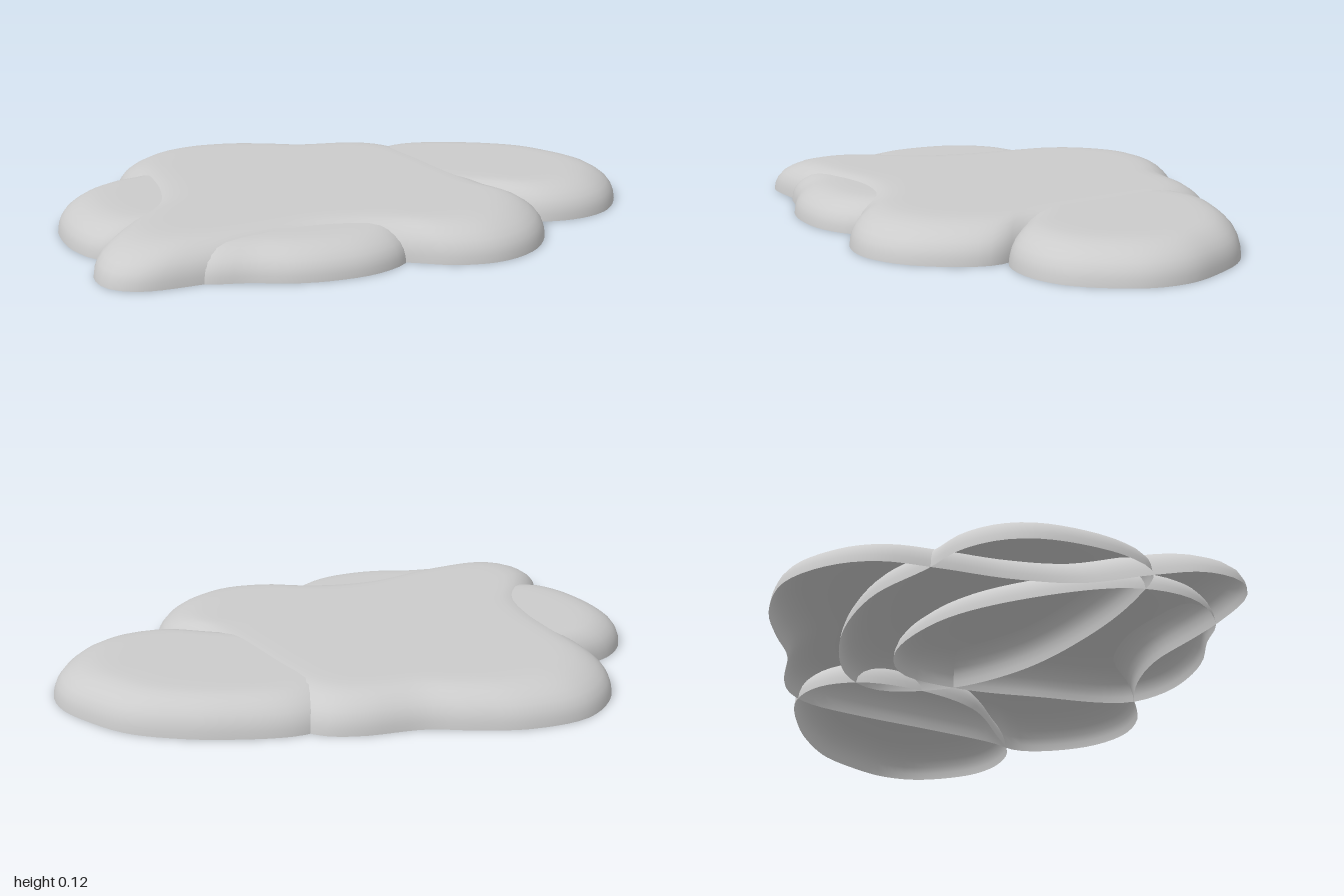
import * as THREE from 'three';

const material = new THREE.MeshStandardMaterial({ color: 0xcccccc, side: THREE.DoubleSide });

// Shoulder profile: [inset fraction, height fraction]
const PROFILE = [[0, 0], [0.006, 0.2], [0.022, 0.4], [0.05, 0.58], [0.09, 0.73],
  [0.14, 0.86], [0.2, 0.95], [0.27, 0.99], [0.36, 1], [0.6, 1]];

// Open-bottomed pillow: a closed [x, z] outline drawn in toward a centre while it rises
function pillow(name, outline, [cx, cz], height, roundness, segments = 72) {
  const curve = new THREE.CatmullRomCurve3(outline.map(([x, z]) => new THREE.Vector3(x, 0, z)), true);
  const ring = curve.getSpacedPoints(segments).slice(0, segments);
  if (THREE.ShapeUtils.area(ring.map(p => new THREE.Vector2(p.x, p.z))) > 0) ring.reverse();

  const positions = [], index = [];
  for (const [inset, rise] of PROFILE) {
    const k = 1 - inset * roundness;
    for (const p of ring) positions.push(cx + (p.x - cx) * k, rise * height, cz + (p.z - cz) * k);
  }
  positions.push(cx, height, cz);
  const last = PROFILE.length - 1, pole = PROFILE.length * segments;
  for (let j = 0; j <= last; j++) {
    for (let i = 0; i < segments; i++) {
      const n = (i + 1) % segments;
      const a = j * segments + i, b = j * segments + n;
      if (j === last) index.push(a, b, pole);
      else index.push(a, b, b + segments, a, b + segments, a + segments);
    }
  }
  const geometry = new THREE.BufferGeometry();
  geometry.setAttribute('position', new THREE.Float32BufferAttribute(positions, 3));
  geometry.setIndex(index);
  geometry.computeVertexNormals();
  const mesh = new THREE.Mesh(geometry, material);
  mesh.name = name;
  return mesh;
}

export function createModel() {
  const group = new THREE.Group();
  group.name = 'lobedSlab';

  group.add(
    // Main body: back lobes, front lobe and the tapering corner
    pillow('mainBody', [
      [-0.83, -0.4], [-0.79, -0.55], [-0.67, -0.69], [-0.47, -0.745], [-0.3, -0.73], [-0.15, -0.7],
      [0.05, -0.72], [0.16, -0.705], [0.25, -0.64], [0.34, -0.48], [0.46, -0.2], [0.57, 0.04],
      [0.645, 0.15], [0.64, 0.28], [0.57, 0.44], [0.45, 0.54], [0.3, 0.565], [0.14, 0.525],
      [-0.02, 0.51], [-0.2, 0.54], [-0.4, 0.64], [-0.52, 0.695], [-0.69, 0.74], [-0.79, 0.7],
      [-0.84, 0.58], [-0.81, 0.43], [-0.74, 0.22], [-0.75, 0], [-0.8, -0.22],
    ], [-0.1, -0.1], 0.122, 0.8, 120),

    // Broad lobe on the +x side
    pillow('sideLobe', [
      [0.1, -0.6], [0.23, -0.685], [0.47, -0.685], [0.63, -0.65], [0.77, -0.59], [0.88, -0.49],
      [0.97, -0.37], [1, -0.24], [0.97, -0.1], [0.91, 0.01], [0.81, 0.085], [0.67, 0.115],
      [0.5, 0.06], [0.25, -0.05], [0.1, -0.25], [0.05, -0.45],
    ], [0.45, -0.3], 0.12, 1.1),

    // Lobe on the -x side, running well under the main body
    pillow('outerLobe', [
      [-1, 0.06], [-0.98, -0.06], [-0.91, -0.17], [-0.8, -0.25], [-0.6, -0.42], [-0.3, -0.52],
      [0, -0.5], [0.11, -0.4], [0.08, -0.15], [-0.1, 0.1], [-0.4, 0.3], [-0.65, 0.4],
      [-0.82, 0.425], [-0.91, 0.34], [-0.97, 0.21],
    ], [-0.45, -0.04], 0.113, 1),

    // Front lobe, also continuing under the main body
    pillow('frontLobe', [
      [0.14, 0.53], [0.04, 0.63], [-0.1, 0.685], [-0.22, 0.7], [-0.36, 0.685], [-0.5, 0.685],
      [-0.66, 0.58], [-0.72, 0.38], [-0.62, 0.05], [-0.45, -0.2], [-0.2, -0.34], [-0.03, -0.31],
      [0.08, -0.1], [0.13, 0.2], [0.16, 0.42],
    ], [-0.25, 0.2], 0.108, 1),
  );
  return group;
}
